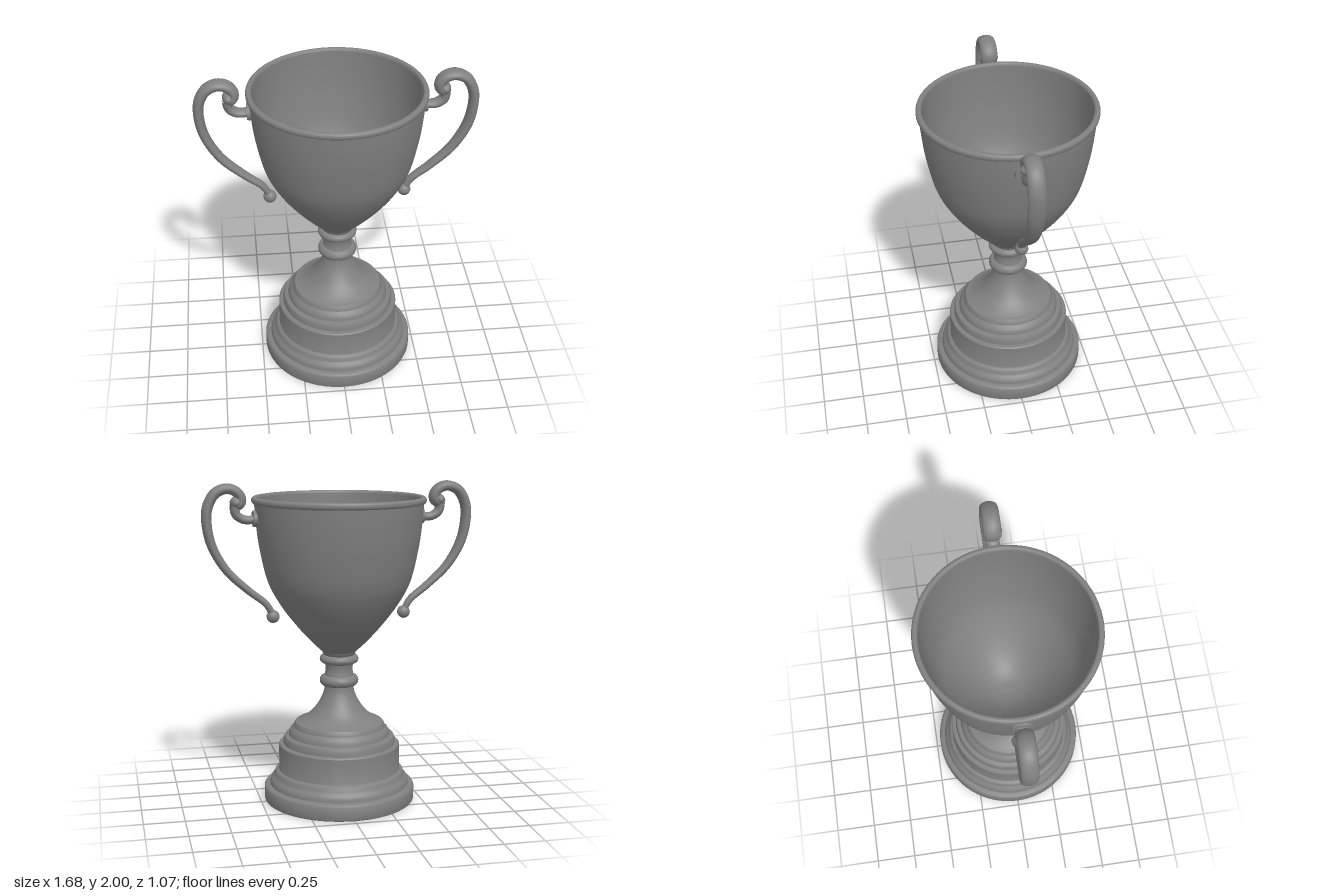
import * as THREE from 'three';
import { mergeVertices, toCreasedNormals } from 'three/addons/utils/BufferGeometryUtils.js';

const metal = new THREE.MeshStandardMaterial({ color: 0x808080 });
metal.name = 'grey metal';

const v2 = ([x, y]) => new THREE.Vector2(x, y);
const smooth = (points, n) => new THREE.SplineCurve(points.map(v2)).getPoints(n);

function part(name, geometry, parent) {
  const mesh = new THREE.Mesh(geometry, metal);
  mesh.name = name;
  parent.add(mesh);
  return mesh;
}

// Turned part: profile runs up the outside
function turned(name, profile, parent) {
  return part(name, toCreasedNormals(new THREE.LatheGeometry(profile, 72), 0.6), parent);
}

// Rounded bead on a turned profile
function bead(r, y, bulge, half) {
  return Array.from({ length: 11 }, (_, i) => {
    const a = -Math.PI / 2 + (i / 10) * Math.PI;
    return new THREE.Vector2(r + bulge * Math.cos(a), y + half * Math.sin(a));
  });
}

// Oval bar swept along a path in the xy plane; size(t) gives [thickness, half width in z]
function ovalBar(points, steps, size) {
  const path = new THREE.CatmullRomCurve3(points.map(([x, y]) => new THREE.Vector3(x, y, 0)));
  const sides = 14;
  const geometry = new THREE.TubeGeometry(path, steps, 1, sides);
  const pos = geometry.attributes.position;
  for (let i = 0; i <= steps; i++) {
    const centre = path.getPointAt(i / steps);
    const [thick, wide] = size(i / steps);
    for (let j = 0; j <= sides; j++) {
      const k = i * (sides + 1) + j;
      pos.setXYZ(k,
        centre.x + (pos.getX(k) - centre.x) * thick,
        centre.y + (pos.getY(k) - centre.y) * thick,
        pos.getZ(k) * wide);
    }
  }
  geometry.deleteAttribute('normal');
  geometry.deleteAttribute('uv');
  const welded = mergeVertices(geometry, 1e-5);
  welded.computeVertexNormals();
  return welded;
}

function makeHandle(name) {
  const handle = new THREE.Group();
  handle.name = name;

  // Main sweep, curling in at the top and tapering to the foot
  part('handleSweep', ovalBar([
    [0.645, 1.895], [0.625, 1.868], [0.602, 1.885], [0.603, 1.92], [0.635, 1.955],
    [0.69, 1.968], [0.755, 1.94], [0.797, 1.87], [0.808, 1.79], [0.783, 1.64],
    [0.695, 1.48], [0.56, 1.35], [0.455, 1.265], [0.415, 1.2],
  ], 90, (t) => [
    t < 0.3 ? 0.032 : THREE.MathUtils.lerp(0.032, 0.02, (t - 0.3) / 0.7),
    t < 0.45 ? 0.052 : THREE.MathUtils.lerp(0.052, 0.026, (t - 0.45) / 0.55),
  ]), handle);

  // Scroll end and foot ball
  const scroll = part('scrollEnd', new THREE.SphereGeometry(0.036, 24, 16), handle);
  scroll.position.set(0.63, 1.885, 0);
  scroll.scale.z = 1.65;
  part('footBall', new THREE.SphereGeometry(0.04, 24, 16), handle).position.set(0.413, 1.187, 0);

  // Short stem and oval plate joining the bowl
  part('handleStem', ovalBar([
    [0.51, 1.79], [0.545, 1.78], [0.59, 1.785], [0.63, 1.815], [0.64, 1.87],
  ], 24, (t) => [0.024 + 0.006 * t, 0.036 + 0.01 * t]), handle);
  const plate = part('mountPlate', new THREE.CylinderGeometry(0.048, 0.052, 0.025, 28), handle);
  plate.rotation.z = -Math.PI / 2;
  plate.position.set(0.517, 1.787, 0);
  plate.scale.z = 1.25;
  return handle;
}

export function createModel() {
  const cup = new THREE.Group();
  cup.name = 'trophyCup';

  // Stepped plinth
  turned('plinth', [
    [0, 0], [0.462, 0], [0.47, 0.005], [0.474, 0.015], [0.474, 0.09], [0.468, 0.1],
    [0.455, 0.106], [0.438, 0.108], [0.436, 0.125], [0.43, 0.143], [0.415, 0.155],
    [0.408, 0.165], [0.405, 0.185], [0.397, 0.195], [0.382, 0.2], [0.38, 0.205],
    [0.38, 0.36], [0.374, 0.367], [0.352, 0.37], [0.35, 0.4], [0.343, 0.415],
    [0.318, 0.422], [0.315, 0.44], [0.307, 0.458], [0.287, 0.475], [0.284, 0.49],
    [0.274, 0.505], [0.25, 0.513],
  ].map(v2), cup);

  // Flared stem with two beaded collars
  turned('stem', [
    ...smooth([[0.25, 0.513], [0.215, 0.533], [0.17, 0.57], [0.126, 0.63], [0.098, 0.69], [0.09, 0.732]], 24),
    ...bead(0.09, 0.77, 0.031, 0.034),
    ...smooth([[0.09, 0.806], [0.084, 0.84], [0.088, 0.876]], 8),
    ...bead(0.094, 0.906, 0.027, 0.026),
    v2([0.098, 0.935]), v2([0.106, 0.955]),
  ], cup);

  // Open bowl: outer wall, rolled rim, inner wall
  const outer = smooth([
    [0.1, 0.95], [0.165, 1.01], [0.26, 1.115], [0.362, 1.25], [0.44, 1.4],
    [0.487, 1.6], [0.508, 1.76], [0.516, 1.872],
  ], 40);
  const rim = smooth([
    [0.516, 1.872], [0.528, 1.877], [0.533, 1.893], [0.528, 1.908], [0.515, 1.914], [0.502, 1.91], [0.497, 1.898],
  ], 18);
  const inner = smooth([
    [0.497, 1.898], [0.488, 1.76], [0.467, 1.6], [0.42, 1.4], [0.342, 1.25],
    [0.24, 1.115], [0.14, 1.025], [0.06, 0.99], [0, 0.985],
  ], 40);
  turned('bowl', [v2([0, 0.95]), ...outer], cup);
  turned('rim', rim, cup);
  turned('bowlInside', inner, cup);

  // Pair of handles
  cup.add(makeHandle('leftHandle'));
  const right = makeHandle('rightHandle');
  right.rotation.y = Math.PI;
  cup.add(right);

  return cup;
}
